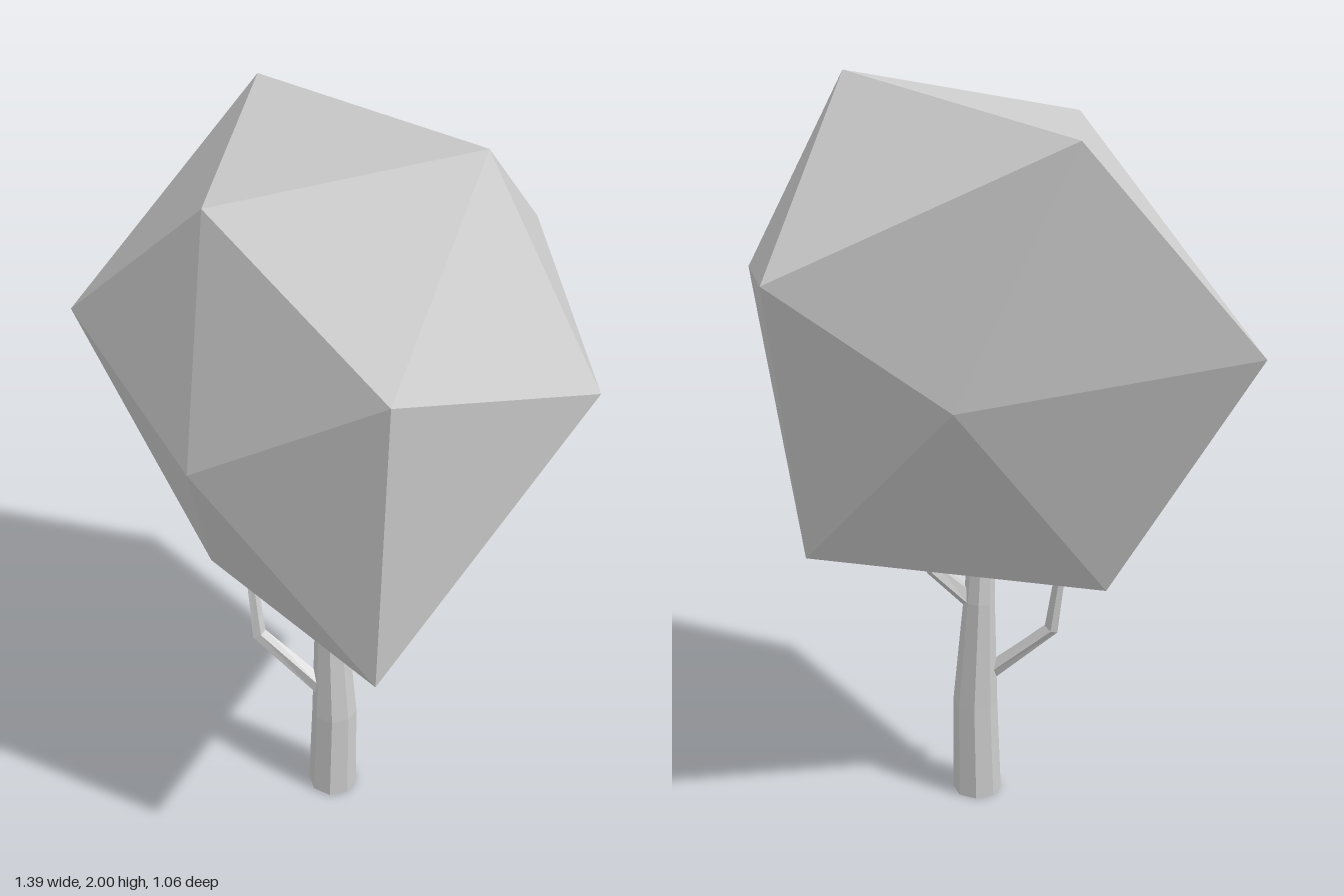
import * as THREE from 'three';

const material = new THREE.MeshStandardMaterial({ color: 0xcccccc, flatShading: true });

function makeMesh(name, points, index) {
  const indexed = new THREE.BufferGeometry();
  indexed.setAttribute('position', new THREE.Float32BufferAttribute(points.flat(), 3));
  indexed.setIndex(index);
  const geometry = indexed.toNonIndexed();
  geometry.computeVertexNormals();
  const mesh = new THREE.Mesh(geometry, material);
  mesh.name = name;
  return mesh;
}

// Open, faceted limb through stations [x, y, z, radius]
function limb(name, stations, sides) {
  const centres = stations.map(([x, y, z]) => new THREE.Vector3(x, y, z));
  const points = [];
  const index = [];
  stations.forEach((station, j) => {
    const next = centres[Math.min(j + 1, centres.length - 1)];
    const previous = centres[Math.max(j - 1, 0)];
    const t = next.clone().sub(previous).normalize();
    const u = new THREE.Vector3(1, 0, 0);
    u.addScaledVector(t, -u.dot(t)).normalize();
    const v = t.clone().cross(u);
    for (let k = 0; k < sides; k++) {
      const angle = ((k + 0.5) / sides) * Math.PI * 2;
      const p = centres[j].clone()
        .addScaledVector(u, Math.cos(angle) * station[3])
        .addScaledVector(v, Math.sin(angle) * station[3]);
      points.push(p.toArray());
      if (j > 0) {
        const a = (j - 1) * sides + k;
        const b = (j - 1) * sides + ((k + 1) % sides);
        index.push(a, b, b + sides, a, b + sides, a + sides);
      }
    }
  });
  return makeMesh(name, points, index);
}

// Uneven twenty-faced crown: a peak, two rings of five and a lowest point
function crown() {
  const peak = [0.39, 2.0, 0.03];
  const upper = [[-0.37, 1.91, -0.29], [-0.11, 1.89, 0.37], [0.41, 1.63, 0.5], [0.69, 1.48, 0.02], [0.3, 1.58, -0.53]];
  const lower = [[-0.7, 1.36, 0.12], [-0.08, 1.31, 0.53], [0.38, 0.83, 0.48], [0.34, 0.83, -0.32], [-0.12, 1.3, -0.41]];
  const lowest = [-0.31, 0.68, 0.12];
  const index = [];
  for (let i = 0; i < 5; i++) {
    const n = (i + 1) % 5;
    const u = 1 + i, uNext = 1 + n, l = 6 + i, lNext = 6 + n;
    index.push(0, u, uNext, u, l, uNext, l, lNext, uNext, 11, lNext, l);
  }
  return makeMesh('foliage', [peak, ...upper, ...lower, lowest], index);
}

export function createModel() {
  const tree = new THREE.Group();
  tree.name = 'tree';
  tree.add(
    crown(),
    limb('trunk', [[0.06, 0, 0.105, 0.068], [0.063, 0.28, 0.1, 0.062], [0.046, 0.6, 0.09, 0.043], [0.042, 0.77, 0.098, 0.035]], 8),
    limb('rightBranch', [[0.03, 0.37, 0.12, 0.025], [-0.14, 0.52, 0.16, 0.021], [-0.175, 0.73, 0.14, 0.014]], 5),
    limb('leftBranch', [[0.07, 0.6, 0.085, 0.027], [0.16, 0.69, 0.04, 0.021], [0.17, 0.79, 0.01, 0.014]], 5),
  );
  return tree;
}
